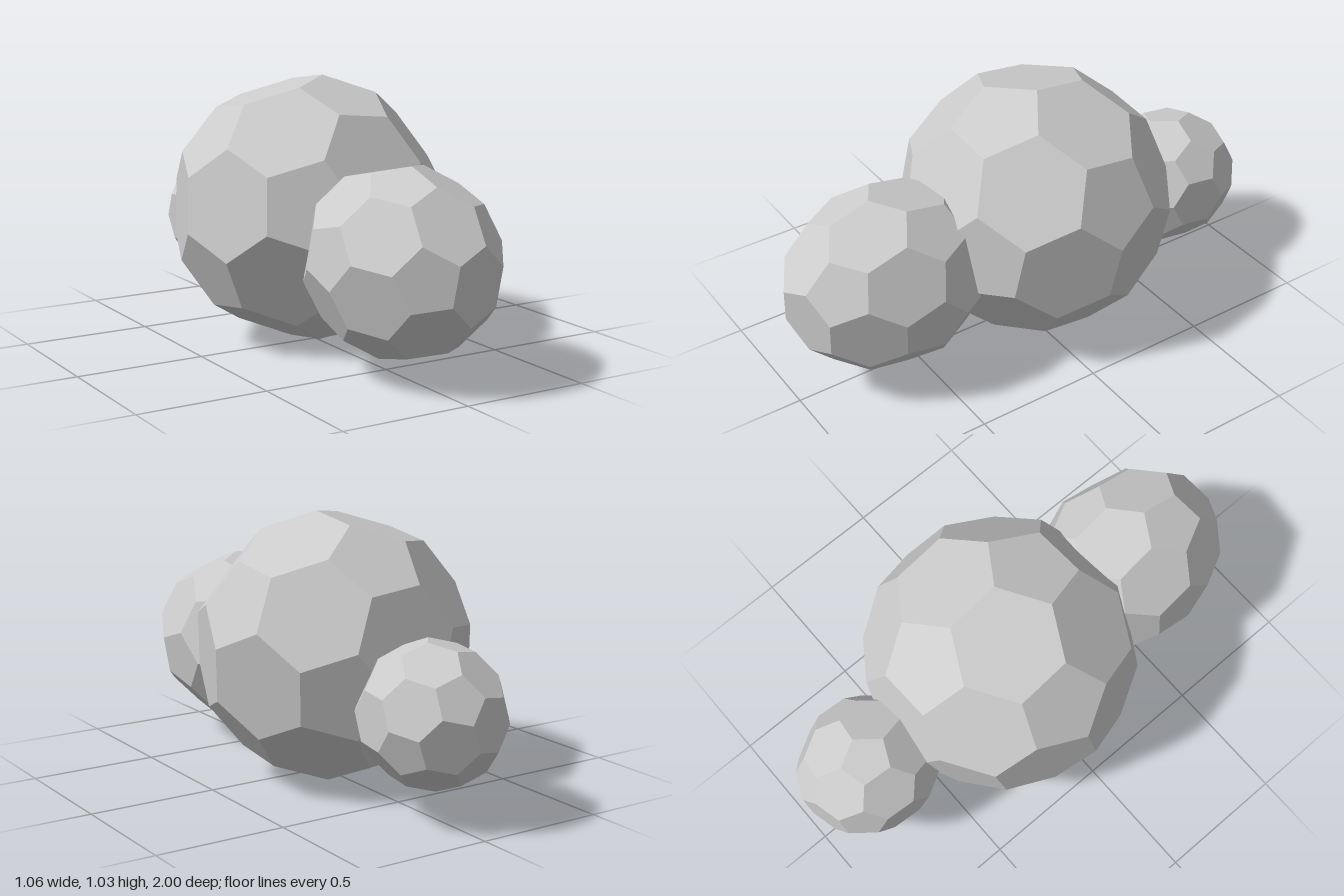
import * as THREE from 'three';
import { ConvexGeometry } from 'three/addons/geometries/ConvexGeometry.js';

const material = new THREE.MeshStandardMaterial({ color: 0xcccccc, flatShading: true });

// Corners of a truncated icosahedron: one pentagon faces `axis`,
// and one corner of that pentagon points towards `toward`.
function truncatedIcosahedron(axis, toward) {
  const n = new THREE.Vector3(...axis).normalize();
  const t = new THREE.Vector3(...toward);
  t.addScaledVector(n, -t.dot(n)).normalize();
  const b = new THREE.Vector3().crossVectors(n, t);

  // The twelve pentagon directions
  const poles = [n, n.clone().negate()];
  for (let i = 0; i < 5; i++) {
    const a = (i * 2 * Math.PI) / 5;
    const p = n.clone().multiplyScalar(0.5)
      .addScaledVector(t, Math.cos(a))
      .addScaledVector(b, Math.sin(a))
      .normalize();
    poles.push(p, p.clone().negate());
  }

  // Two corners on each edge, a third of the way from either end
  const corners = [];
  for (const p of poles) {
    for (const q of poles) {
      const d = p.dot(q);
      if (d > 0.4 && d < 0.5) corners.push(p.clone().lerp(q, 1 / 3).normalize());
    }
  }
  return corners;
}

// A faceted ball stretched to the given half sizes around its centre
function facetedBall(name, center, half, axis, toward) {
  const corners = truncatedIcosahedron(axis, toward);
  const reach = new THREE.Box3().setFromPoints(corners).max;
  const scale = new THREE.Vector3(...half).divide(reach);
  corners.forEach((c) => c.multiply(scale));
  const mesh = new THREE.Mesh(new ConvexGeometry(corners), material);
  mesh.name = name;
  mesh.position.set(...center);
  return mesh;
}

export function createModel() {
  const group = new THREE.Group();
  group.name = 'facetedBalls';
  group.add(
    // Large ball in the middle
    facetedBall('middleBall', [0, 0.516, -0.066], [0.529, 0.515, 0.518],
      [0.106, 0.915, 0.39], [0.103, -0.067, 0.134]),
    // Medium ball at the front, drawn out lengthwise
    facetedBall('frontBall', [0, 0.424, 0.592], [0.33, 0.352, 0.408],
      [-0.429, 0.033, 0.903], [-0.55, 0.103, -0.254]),
    // Small ball at the back
    facetedBall('rearBall', [0.017, 0.388, -0.715], [0.252, 0.266, 0.285],
      [-0.2, 0.97, -0.1], [0.75, 0.65, 0.02]),
  );
  return group;
}
